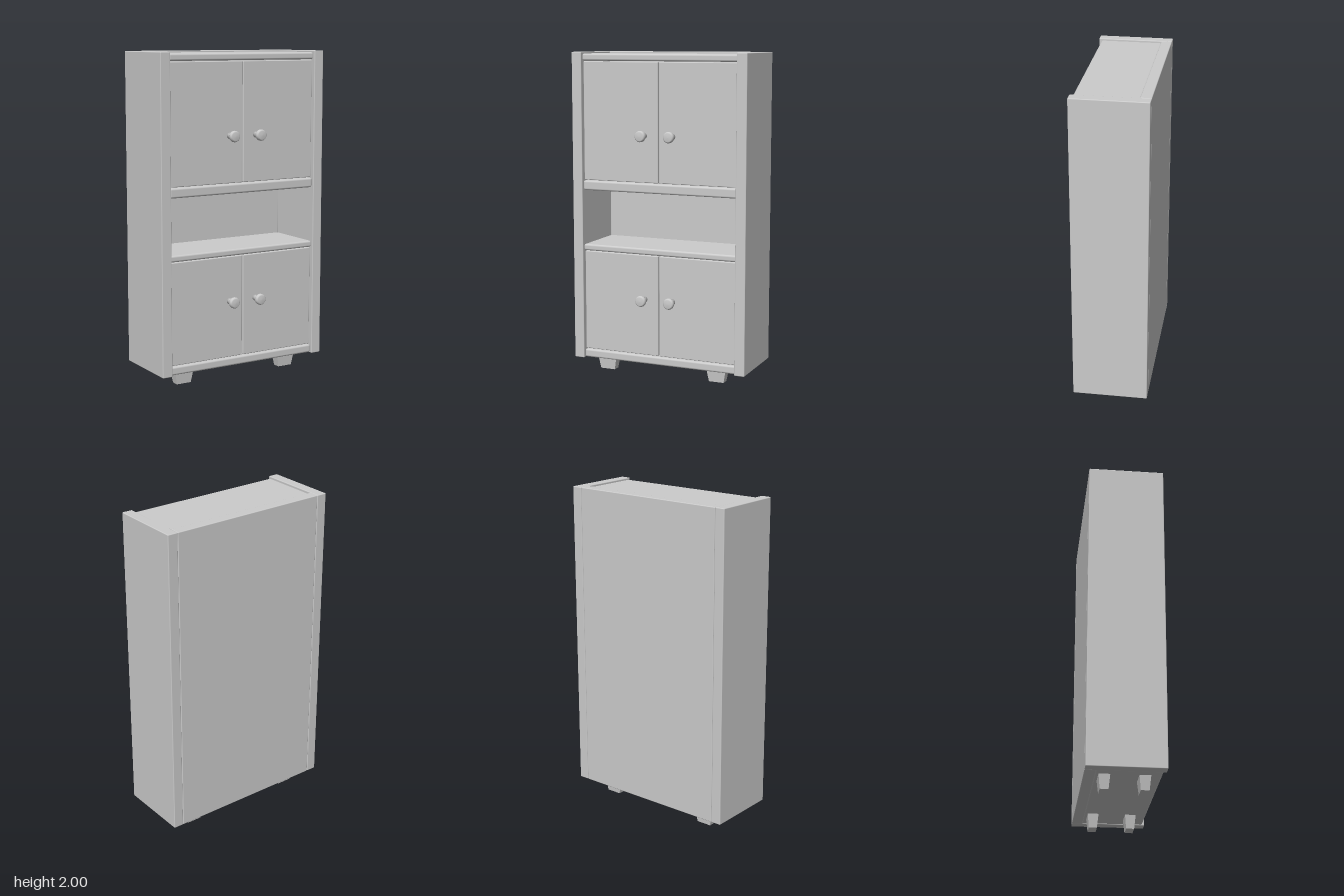
import * as THREE from 'three';
import { RoundedBoxGeometry } from 'three/addons/geometries/RoundedBoxGeometry.js';

export function createModel() {
  const cabinet = new THREE.Group();
  cabinet.name = 'cabinet';
  const material = new THREE.MeshStandardMaterial({ color: 0xcccccc });

  function add(name, geometry, x = 0, y = 0, z = 0) {
    const mesh = new THREE.Mesh(geometry, material);
    mesh.name = name;
    mesh.position.set(x, y, z);
    cabinet.add(mesh);
    return mesh;
  }

  // Softly rounded board given by its limits on each axis
  function board(name, [x0, x1], [y0, y1], [z0, z1], radius = 0.005) {
    const geometry = new RoundedBoxGeometry(x1 - x0, y1 - y0, z1 - z0, 3, radius);
    return add(name, geometry, (x0 + x1) / 2, (y0 + y1) / 2, (z0 + z1) / 2);
  }

  // Side and back panels
  board('leftSide', [0.505, 0.57], [0.08, 2], [-0.255, 0.2]);
  board('rightSide', [-0.57, -0.505], [0.08, 2], [-0.255, 0.2]);
  board('backPanel', [-0.504, 0.504], [0.08, 2], [-0.255, -0.19]);

  // Horizontal boards with rounded front edges
  const boards = {
    bottomBoard: [0.083, 0.135],
    lowerShelf: [0.77, 0.81],
    upperShelf: [1.15, 1.21],
    topBoard: [1.947, 1.99],
  };
  for (const [name, span] of Object.entries(boards)) {
    board(name, [-0.506, 0.506], span, [-0.195, 0.185], 0.012);
  }

  // Turned knob profile: radius, distance from the door
  const knobProfile = [
    [0, 0], [0.019, 0], [0.018, 0.025], [0.019, 0.036], [0.024, 0.043], [0.032, 0.048],
    [0.034, 0.054], [0.034, 0.064], [0.031, 0.071], [0.025, 0.075], [0, 0.076],
  ].map(([r, h]) => new THREE.Vector2(r, h));
  const knobGeometry = new THREE.LatheGeometry(knobProfile, 32).rotateX(Math.PI / 2);

  // Two pairs of doors, each door with a knob near the middle
  const doorRows = [
    { row: 'lower', span: [0.139, 0.766], knobY: 0.49 },
    { row: 'upper', span: [1.214, 1.943], knobY: 1.5 },
  ];
  for (const { row, span, knobY } of doorRows) {
    board(row + 'LeftDoor', [0.003, 0.502], span, [0.135, 0.175]);
    board(row + 'RightDoor', [-0.502, -0.003], span, [0.135, 0.175]);
    add(row + 'LeftKnob', knobGeometry, 0.092, knobY, 0.174);
    add(row + 'RightKnob', knobGeometry, -0.094, knobY, 0.174);
  }

  // Tapered feet: a box narrowed towards the floor
  const footGeometry = new THREE.BoxGeometry(0.128, 0.085, 0.066);
  const p = footGeometry.attributes.position;
  for (let i = 0; i < p.count; i++) {
    if (p.getY(i) < 0) p.setXYZ(i, p.getX(i) * 0.75, p.getY(i), p.getZ(i) * 0.75);
  }
  footGeometry.computeVertexNormals();
  for (const [side, x] of [['Left', 0.358], ['Right', -0.381]]) {
    add('front' + side + 'Foot', footGeometry, x, 0.0425, 0.088);
    add('back' + side + 'Foot', footGeometry, x, 0.0425, -0.14);
  }

  return cabinet;
}
